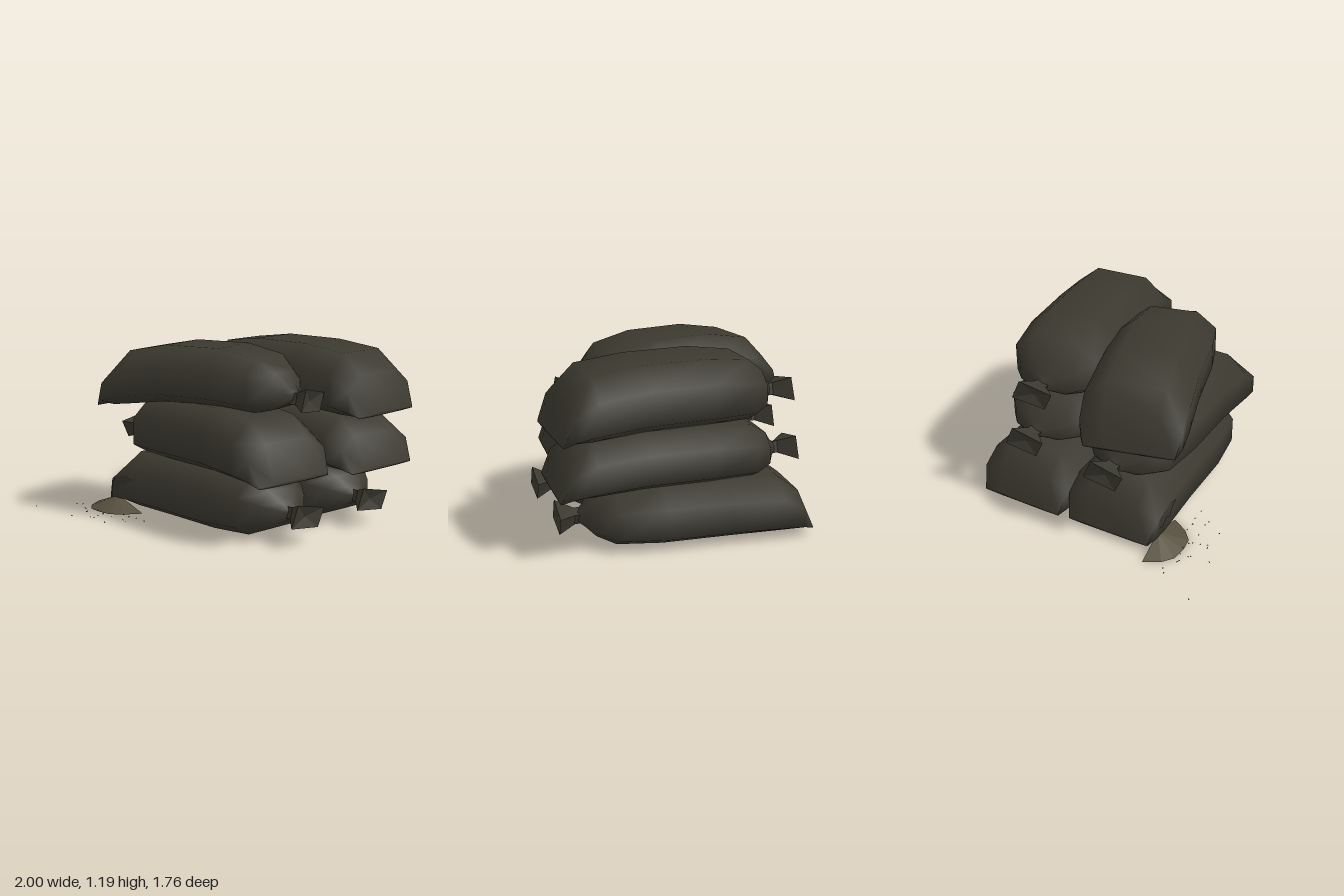
import * as THREE from 'three';

const mat = (name, color, side = THREE.FrontSide) => {
  const m = new THREE.MeshStandardMaterial({ color, side });
  m.name = name;
  return m;
};

// Bag outline along its length: position, half width, bottom, top (unit height)
const STATIONS = [
  [0, 0.3, 0.07, 0.12], [0.07, 0.335, 0.03, 0.67], [0.22, 0.345, 0, 0.96],
  [0.55, 0.335, 0, 1], [1.0, 0.335, 0, 1], [1.3, 0.3, 0.04, 0.95],
  [1.42, 0.205, 0.16, 0.76], [1.475, 0.1, 0.27, 0.57], [1.52, 0.035, 0.34, 0.49],
];
// Cross-section: side factor and height fraction
const SECTION = [
  [0.55, 1], [1, 0.68], [1, 0.18], [0.6, 0],
  [-0.6, 0], [-1, 0.18], [-1, 0.68], [-0.55, 1],
];
const LENGTH = 1.65;

// Skin rings of points; each cap closes on a given centre point
function loft(rings, startCentre, endCentre) {
  const n = rings[0].length, last = (rings.length - 1) * n;
  const pos = rings.flat(2), idx = [];
  for (let i = 0; i < rings.length - 1; i++) {
    for (let j = 0; j < n; j++) {
      const a = i * n + j, b = i * n + (j + 1) % n;
      idx.push(a, b, a + n, b, b + n, a + n);
    }
  }
  const c = rings.length * n;
  pos.push(...startCentre, ...endCentre);
  for (let j = 0; j < n; j++) {
    const k = (j + 1) % n;
    idx.push(c, k, j, c + 1, last + j, last + k);
  }
  const g = new THREE.BufferGeometry();
  g.setAttribute('position', new THREE.Float32BufferAttribute(pos, 3));
  g.setIndex(idx);
  g.computeVertexNormals();
  return g;
}

const sag = (s, bend) => bend * ((s - 0.8) / 0.8) ** 2;

// One filled bag running from its wide sewn end to its tied neck
function makeBag(name, material, { wide, tip, y, h, bend }) {
  const bag = new THREE.Group();
  bag.name = name;
  const rings = STATIONS.map(([s, w, b, t]) =>
    SECTION.map(([u, v]) => [s, h * (b + (t - b) * v) - sag(s, bend), u * w]));
  const mid = (s, f) => [s, h * f - sag(s, bend), 0];
  const body = new THREE.Mesh(loft(rings, mid(0, 0.095), mid(1.52, 0.415)), material);
  body.name = 'bagBody';

  // Flared, slightly twisted cloth beyond the tie
  const flare = [[0.09, 0.09], [0.15, -0.05], [-0.09, -0.08], [-0.145, 0.04]];
  const ny = 0.415 * h - sag(1.6, bend);
  const ring = (s, k, ky) => flare.map(([z, dy]) => [s, ny + dy * ky, z * k]);
  const neckGeo = loft([ring(1.49, 0.35, 0.5), ring(1.54, 0.32, 0.55), ring(LENGTH, 1, 1)],
    [1.49, ny, 0], [1.62, ny, 0]).toNonIndexed();
  neckGeo.computeVertexNormals();
  const neck = new THREE.Mesh(neckGeo, material);
  neck.name = 'bagNeck';

  bag.add(body, neck);
  const dx = tip[0] - wide[0], dz = tip[1] - wide[1];
  bag.scale.x = Math.hypot(dx, dz) / LENGTH;
  bag.rotation.y = Math.atan2(-dz, dx);
  bag.position.set(wide[0], y, wide[1]);
  return bag;
}

// Jagged tear lying just above the +z side of a bag
function makeTear(material, h) {
  const outline = [
    [0.05, 0.3], [0.11, 0.42], [0.13, 0.34], [0.18, 0.46], [0.22, 0.38], [0.26, 0.5], [0.32, 0.57],
    [0.27, 0.6], [0.25, 0.72], [0.21, 0.62], [0.18, 0.76], [0.14, 0.64], [0.1, 0.66], [0.08, 0.5],
  ];
  const shape = new THREE.Shape(outline.map(([s, v]) => new THREE.Vector2(s, v)));
  const g = new THREE.ShapeGeometry(shape);
  const p = g.attributes.position;
  for (let i = 0; i < p.count; i++) {
    const s = p.getX(i), v = p.getY(i);
    const k = Math.max(1, STATIONS.findIndex((st) => st[0] >= s));
    const A = STATIONS[k - 1], B = STATIONS[k], f = (s - A[0]) / (B[0] - A[0]);
    const [, w, b, t] = A.map((q, j) => q + (B[j] - q) * f);
    const u = v < 0.68 ? 1 : 1 - (v - 0.68) / 0.32 * 0.45;
    p.setXYZ(i, s, h * (b + (t - b) * v), u * w + 0.005);
  }
  g.computeVertexNormals();
  const tear = new THREE.Mesh(g, material);
  tear.name = 'tear';
  return tear;
}

// Half cone of spilled filling against the bottom bag
function makePile(material) {
  const rim = [[-0.82, 0.46], [-0.76, 0.57], [-0.69, 0.63], [-0.58, 0.645],
    [-0.48, 0.635], [-0.4, 0.57], [-0.33, 0.46]];
  const pos = [-0.59, 0.085, 0.46, -0.59, 0, 0.46], idx = [0, 2 + rim.length - 1, 2];
  rim.forEach(([x, z]) => pos.push(x, 0, z));
  for (let i = 0; i < rim.length - 1; i++) idx.push(0, 2 + i, 3 + i, 1, 3 + i, 2 + i);
  const g = new THREE.BufferGeometry();
  g.setAttribute('position', new THREE.Float32BufferAttribute(pos, 3));
  g.setIndex(idx);
  const flat = g.toNonIndexed();
  flat.computeVertexNormals();
  const pile = new THREE.Mesh(flat, material);
  pile.name = 'spilledPile';
  return pile;
}

export function createModel() {
  const model = new THREE.Group();
  model.name = 'sandbagStack';
  const cloth = mat('darkCloth', 0x3b392f);
  const torn = mat('tornCloth', 0x37352c, THREE.DoubleSide);
  const sand = mat('sand', 0x564f3e, THREE.DoubleSide);
  const grit = mat('grit', 0x3a372d);

  // Three layers of two bags
  const bags = {
    bottomFrontBag: { wide: [-0.7, 0.14], tip: [0.95, 0.18], y: 0.01, h: 0.405, bend: 0 },
    bottomBackBag: { wide: [-0.69, -0.54], tip: [0.94, -0.47], y: 0.01, h: 0.39, bend: 0 },
    middleFrontBag: { wide: [0.86, 0.21], tip: [-0.75, 0.14], y: 0.41, h: 0.41, bend: 0.05 },
    middleBackBag: { wide: [0.98, -0.51], tip: [-0.64, -0.52], y: 0.4, h: 0.37, bend: 0.04 },
    topFrontBag: { wide: [-0.7, 0.3], tip: [0.79, -0.03], y: 0.81, h: 0.38, bend: 0.1 },
    topBackBag: { wide: [0.98, -0.54], tip: [-0.62, -0.45], y: 0.77, h: 0.42, bend: 0.05 },
  };
  for (const [name, spec] of Object.entries(bags)) {
    const bag = makeBag(name, cloth, spec);
    if (name === 'bottomFrontBag') bag.add(makeTear(torn, spec.h));
    model.add(bag);
  }

  model.add(makePile(sand));

  // Scattered grains around the pile
  let seed = 7;
  const rnd = () => (seed = (seed * 16807) % 2147483647) / 2147483647;
  const grainGeo = new THREE.TetrahedronGeometry(0.008);
  const grains = new THREE.Group();
  grains.name = 'scatteredGrains';
  const spots = [[-0.995, 0.88], [-0.62, 0.85], [-0.33, 0.79], [-0.5, 0.78], [-0.17, 0.58]];
  for (let i = 0; i < 24; i++) spots.push([-0.85 + rnd() * 0.65, 0.57 + rnd() * rnd() * 0.24]);
  for (const [x, z] of spots) {
    const grain = new THREE.Mesh(grainGeo, grit);
    grain.name = 'grain';
    grain.position.set(x, 0.004, z);
    grain.rotation.y = rnd() * 6;
    grain.scale.y = 0.6;
    grains.add(grain);
  }
  model.add(grains);
  return model;
}
